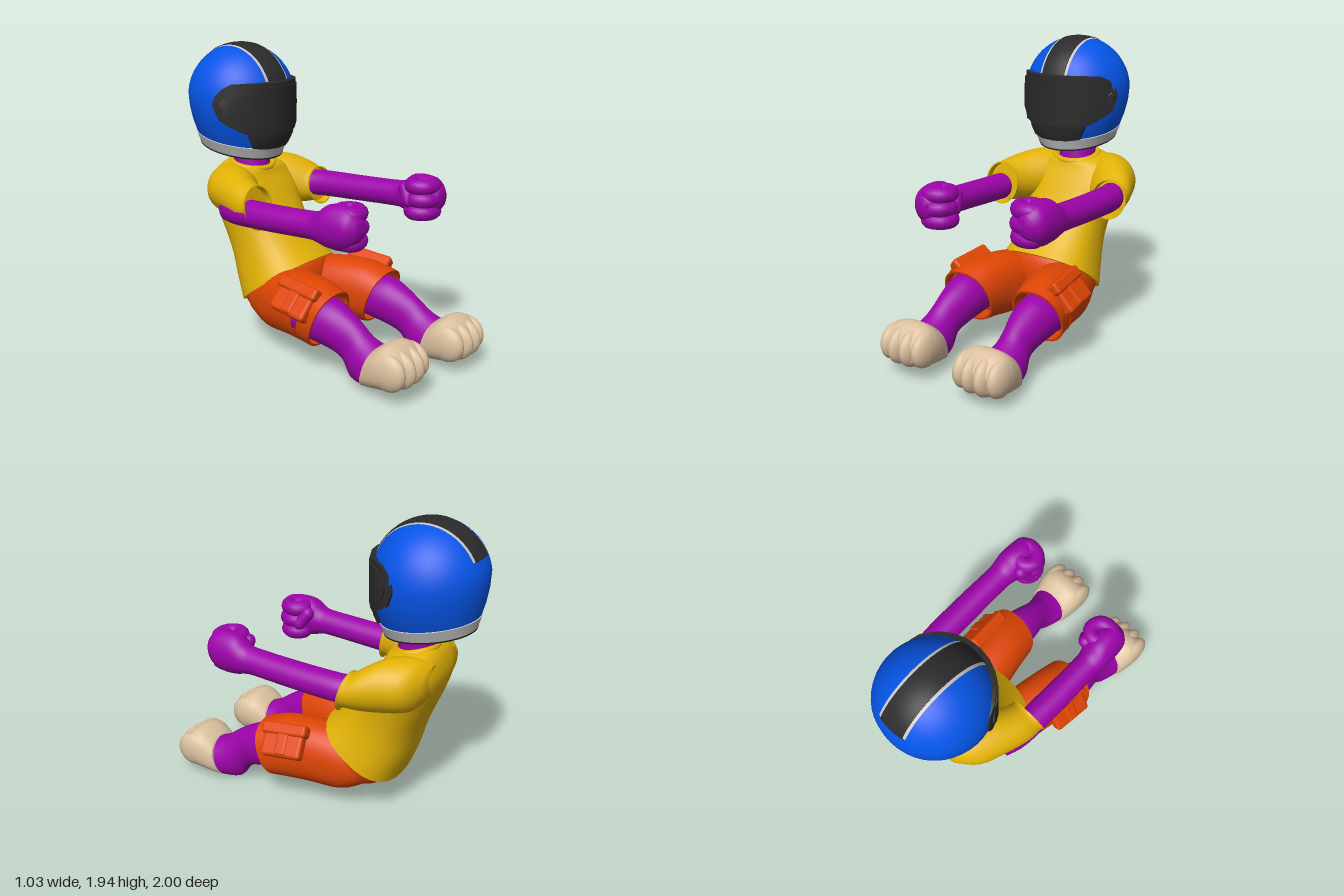
import * as THREE from 'three';
import { toCreasedNormals } from 'three/addons/utils/BufferGeometryUtils.js';
import { RoundedBoxGeometry } from 'three/addons/geometries/RoundedBoxGeometry.js';

const paint = (name, color) => Object.assign(new THREE.MeshStandardMaterial({ color }), { name });
const V = (x, y, z) => new THREE.Vector3(x, y, z);

// Closed skin over a row of point loops, capped at both ends
function skin(rings, crease = 0.8) {
  const n = rings[0].length, pos = [], idx = [];
  for (const ring of rings) for (const p of ring) pos.push(p.x, p.y, p.z);
  for (let i = 0; i < rings.length - 1; i++) {
    for (let j = 0; j < n; j++) {
      const a = i * n + j, b = i * n + (j + 1) % n;
      idx.push(a, b, a + n, b, b + n, a + n);
    }
  }
  [0, rings.length - 1].forEach((i, end) => {
    const c = rings[i].reduce((s, p) => s.add(p), V(0, 0, 0)).divideScalar(n);
    const k = pos.length / 3;
    pos.push(c.x, c.y, c.z);
    for (let j = 0; j < n; j++) {
      const a = i * n + j, b = i * n + (j + 1) % n;
      idx.push(k, end ? a : b, end ? b : a);
    }
  });
  const g = new THREE.BufferGeometry();
  g.setAttribute('position', new THREE.Float32BufferAttribute(pos, 3));
  g.setIndex(idx);
  return toCreasedNormals(g, crease);
}

// Catmull-Rom subdivision of section rows
function smooth(rows, n = 4) {
  const out = [];
  for (let i = 0; i < rows.length - 1; i++) {
    const [a, b, c, d] = [-1, 0, 1, 2].map(k => rows[Math.min(rows.length - 1, Math.max(0, i + k))]);
    for (let s = 0; s < n; s++) {
      const t = s / n;
      out.push(b.map((v, k) => v + 0.5 * t * (c[k] - a[k] + t * (2 * a[k] - 5 * v + 4 * c[k] - d[k]
        + t * (3 * (v - c[k]) + d[k] - a[k])))));
    }
  }
  out.push(rows[rows.length - 1]);
  return out;
}

// Section row: [centre x, half width, z1, y1, z2, y2], an oval between two points; power < 1 squares it
const bend = (v, power) => Math.sign(v) * Math.abs(v) ** power;
const oval = ([x, w, z1, y1, z2, y2], power, n = 32) => Array.from({ length: n }, (_, j) => {
  const a = j / n * Math.PI * 2, s = bend(Math.sin(a), power) / 2;
  return V(x + w * bend(Math.cos(a), power), (y1 + y2) / 2 + (y1 - y2) * s, (z1 + z2) / 2 + (z1 - z2) * s);
});
// Row shrunk about its middle and pushed inward, for hollow cloth openings
function inset([x, w, z1, y1, z2, y2], k, dy, dz) {
  const mz = (z1 + z2) / 2, my = (y1 + y2) / 2;
  return [x, w * k, mz + (z1 - mz) * k + dz, my + (y1 - my) * k + dy, mz + (z2 - mz) * k + dz, my + (y2 - my) * k + dy];
}
function loft(rows, hollow, power = 1) {
  const all = smooth(rows), last = rows[rows.length - 1];
  if (hollow) all.push(inset(last, 0.93, 0, 0), inset(last, 0.88, ...hollow));
  return skin(all.map(r => oval(r, power)));
}

export function createModel() {
  const blue = paint('helmet blue', 0x0555e8), dark = paint('visor black', 0x2b2b2b);
  const grey = paint('trim grey', 0xc8c8c8), yellow = paint('shirt yellow', 0xe2b206);
  const orange = paint('shorts orange', 0xde4504), purple = paint('skin purple', 0x9d04aa);
  const tan = paint('foot tan', 0xdcc1a0);

  const model = new THREE.Group();
  const add = (name, geo, mat, parent = model) => {
    const m = new THREE.Mesh(geo, mat);
    m.name = name;
    parent.add(m);
    return m;
  };

  // Shirt body, neck and collar
  add('shirt', loft([
    [-.015, .14, -.49, 1.15, -.71, 1.19], [-.015, .21, -.46, 1.135, -.745, 1.175],
    [-.01, .295, -.44, 1.09, -.78, 1.11], [-.005, .33, -.39, 1.01, -.795, 1.0],
    [-.01, .30, -.33, .91, -.75, .84], [-.015, .282, -.24, .78, -.655, .6],
    [-.015, .297, -.14, .67, -.60, .41], [-.015, .33, -.05, .59, -.53, .24],
  ], [.03, -.02], .8), yellow);
  add('neck', loft([[-.025, .12, -.52, 1.42, -.76, 1.42], [-.015, .122, -.50, 1.28, -.74, 1.29],
    [-.015, .125, -.48, 1.12, -.73, 1.15]]), purple);
  const collar = add('collar', new THREE.TorusGeometry(.148, .022, 10, 36), yellow);
  collar.position.set(-.015, 1.158, -.598);
  collar.rotation.x = Math.PI / 2 + .2;
  collar.scale.y = .88;

  // Sleeves
  add('leftSleeve', loft([[.14, .12, -.775, 1.12, -.77, .93], [.2, .185, -.70, 1.17, -.70, .85],
    [.265, .185, -.56, 1.17, -.54, .83], [.33, .158, -.46, 1.13, -.42, .84],
    [.378, .12, -.38, 1.08, -.33, .855], [.382, .128, -.36, 1.085, -.31, .83]], [0, -.04]), yellow);
  add('rightSleeve', loft([[-.15, .12, -.76, 1.12, -.755, .93], [-.2, .185, -.66, 1.17, -.65, .87],
    [-.27, .18, -.5, 1.17, -.48, .86], [-.35, .14, -.35, 1.14, -.32, .85],
    [-.373, .12, -.26, 1.12, -.22, .86], [-.375, .128, -.24, 1.125, -.2, .84]], [0, -.04]), yellow);

  // Seat of the shorts
  add('shortsSeat', loft([
    [-.015, .305, -.09, .585, -.54, .28], [-.015, .31, -.06, .55, -.51, .235], [-.02, .31, -.04, .48, -.41, .18],
    [-.02, .26, -.04, .39, -.3, .145], [-.02, .19, -.05, .3, -.19, .135], [-.02, .08, -.07, .22, -.14, .15],
  ], null, .85), orange);

  // Limbs, made for the left and mirrored to the right with a small pose shift
  for (const s of [1, -1]) {
    const side = s > 0 ? 'left' : 'right';
    const mover = (dx, dy, dz) => s > 0 ? [0, 0, 0] : [dx, dy, dz];
    const place = (rows, [dx, dy, dz]) => rows.map(([x, w, z1, y1, z2, y2]) =>
      [s * x + dx, w, z1 + dz, y1 + dy, z2 + dz, y2 + dy]);

    // Arm with the smooth back of the hand
    const arm = new THREE.Group();
    arm.name = side + 'Arm';
    model.add(arm);
    const am = mover(0, -.03, -.05);
    add('forearm', loft(place([
      [.36, .09, -.45, 1.05, -.43, .88], [.40, .09, -.3, 1.06, -.3, .885], [.41, .088, 0, 1.07, 0, .9],
      [.41, .084, .28, 1.085, .28, .915], [.41, .088, .35, 1.10, .35, .91], [.405, .10, .42, 1.15, .42, .89],
      [.40, .102, .52, 1.16, .52, .885], [.40, .09, .59, 1.14, .59, .92], [.395, .05, .635, 1.09, .635, .97],
    ], am)), purple, arm);
    // Curled fingers and thumb
    const curl = [[.39, .5], [.405, .57], [.37, .588], [.305, .57], [.283, .51], [.32, .465], [.37, .47]];
    [.937, 1.02, 1.103].forEach((y, i) => {
      const path = new THREE.CatmullRomCurve3(curl.map(([x, z]) =>
        V(s * x + am[0], y + am[1], z + am[2] - (i === 1 ? 0 : .008))));
      add('finger', new THREE.TubeGeometry(path, 28, .051, 12), purple, arm);
    });
    const thumb = add('thumb', new THREE.CapsuleGeometry(.045, .09, 6, 14), purple, arm);
    thumb.position.set(s * .295 + am[0], 1.04 + am[1], .44 + am[2]);
    thumb.rotation.set(-.6, 0, s * -.3);

    // Shorts leg, calf and foot
    const leg = new THREE.Group();
    leg.name = side + 'Leg';
    model.add(leg);
    const lm = mover(-.045, .01, -.01), fm = mover(-.06, .015, -.035);
    add('shortsLeg', loft(place([
      [.13, .15, -.34, .46, -.36, .2], [.155, .172, -.2, .53, -.22, .135], [.19, .178, 0, .565, -.02, .14],
      [.225, .18, .2, .56, .12, .148], [.25, .182, .35, .515, .225, .152],
    ], lm), [0, -.13], .9), orange, leg);
    add('calf', loft(place([
      [.25, .14, .15, .47, .12, .2], [.25, .135, .34, .475, .26, .18], [.25, .115, .46, .43, .39, .155],
      [.255, .097, .56, .37, .47, .115], [.26, .112, .64, .31, .54, .025], [.26, .135, .725, .27, .645, .008],
    ], fm)), purple, leg);
    add('foot', loft(place([
      [.26, .142, .715, .275, .645, .018], [.26, .17, .80, .33, .75, .035], [.26, .176, .87, .325, .86, .055],
      [.26, .16, .925, .28, .92, .085], [.26, .125, .955, .235, .95, .115],
    ], fm), null, .78), tan, leg);
    // Toes
    [-.12, -.043, .043, .12].forEach((dx, i) => {
      const mid = i === 1 || i === 2;
      const toe = add('toe', new THREE.SphereGeometry(1, 18, 14), tan, leg);
      toe.scale.set(.058, mid ? .122 : .116, mid ? .132 : .12);
      toe.position.set(s * (.26 + dx) + fm[0], .19 + fm[1], (mid ? .868 : .858) + fm[2]);
      toe.rotation.x = .25;
    });
    // Cargo pocket with flap
    const pocket = new THREE.Group();
    pocket.name = 'pocket';
    pocket.position.set(s * .382 + lm[0], .465, .115);
    pocket.rotation.set(.1, s * .08, s * .66);
    leg.add(pocket);
    add('pocketBag', new RoundedBoxGeometry(.075, .2, .28, 3, .022), orange, pocket);
    const flap = add('pocketFlap', new RoundedBoxGeometry(.09, .08, .31, 3, .02), orange, pocket);
    flap.position.set(s * .008, .08, 0);
    const pleat = add('pocketPleat', new RoundedBoxGeometry(.085, .17, .08, 3, .015), orange, pocket);
    pleat.position.set(s * .004, -.005, 0);
  }

  // Helmet, tilted forward; its lower part narrows and shifts toward the chin
  const helmet = new THREE.Group();
  helmet.name = 'helmet';
  helmet.position.set(-.046, 1.598, -.655);
  helmet.rotation.x = .17;
  model.add(helmet);
  const R = .349, rad = Math.PI / 180;
  const P = (r, phi, y) => {
    const low = Math.max(0, -y);
    return V(r * Math.sin(phi) * (1 - low * low), y, r * Math.cos(phi) + low * .14);
  };
  const turn = profile => skin(profile.map(([r, y]) =>
    Array.from({ length: 44 }, (_, j) => P(r, j / 44 * Math.PI * 2, y))));
  const dome = Array.from({ length: 17 }, (_, i) => [R * Math.cos(i * 5.6 * rad), R * Math.sin(i * 5.6 * rad)]);
  add('shell', turn([[.304, -.25], [.325, -.18], [.342, -.09], ...dome]), blue, helmet);
  add('lowerTrim', turn([[.26, -.24], [.27, -.315], [.288, -.32], [.31, -.25], [.3, -.245]]), grey, helmet);
  add('underside', turn([[.15, -.27], [.258, -.275], [.266, -.326], [.287, -.33], [.29, -.32]]), dark, helmet);

  // Curved plates: rows of [angle, top, bottom], mirrored about the middle
  const plate = (half, rTop, rMid, rBot, depth) => {
    const rows = [...half.map(([a, t, b]) => [-a, t, b]), ...half.slice(0, -1).reverse()];
    return skin(rows.map(([a, t, b]) => {
      const f = a * rad, m = (t + b) / 2;
      return [P(rTop, f, t), P(rMid, f, m), P(rBot, f, b),
        P(rBot - depth, f, b), P(rMid - depth, f, m), P(rTop - depth, f, t)];
    }), .5);
  };
  const visor = [[77, .07, .0], [70, .115, -.08], [61, .15, -.105], [43, .168, -.145],
    [30, .175, -.145], [15, .183, -.142], [0, .185, -.142]];
  add('visor', plate(visor, .335, .358, .362, .06), dark, helmet);
  const inner = visor.map(([a, t, b]) => [a * .9, t - .025, b + .025]);
  add('visorPane', plate(inner, .346, .363, .367, .02), dark, helmet);
  add('chinGuard', plate([[41, -.13, -.15], [35, -.13, -.245], [18, -.13, -.25], [0, -.13, -.25]],
    .355, .347, .326, .05), dark, helmet);

  // Stripe over the crown with pale edges
  const stripe = (hw, r, from, to) => skin(Array.from({ length: 33 }, (_, i) => {
    const t = (from + (to - from) * i / 32) * rad;
    const at = (x, q) => V(x, Math.sqrt(q * q - x * x) * Math.sin(t), Math.sqrt(q * q - x * x) * Math.cos(t));
    const xs = [-1, -.5, 0, .5, 1].map(k => k * hw);
    return [...xs.map(x => at(x, r)), ...xs.reverse().map(x => at(x, r - .009))];
  }));
  add('stripeEdge', stripe(.1, R + .002, 22, 161), grey, helmet);
  add('stripe', stripe(.083, R + .005, 22, 162), dark, helmet);

  return model;
}
